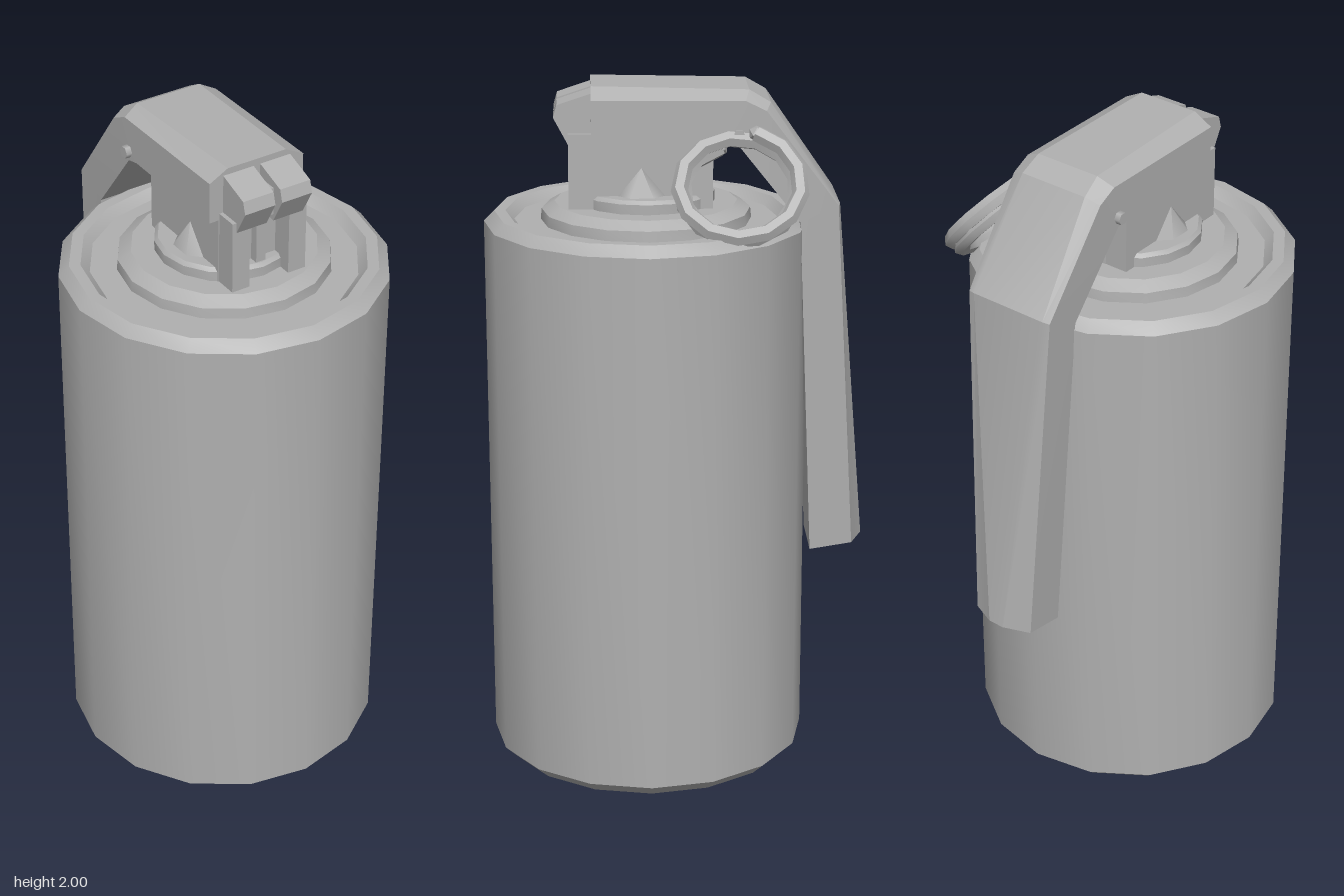
import * as THREE from 'three';
import { toCreasedNormals } from 'three/addons/utils/BufferGeometryUtils.js';

const CREASE = 0.5;
const AXIS_Z = 0.085; // canister axis, pushed forward by the lever behind it

// Solid lofted through the lever's cross-sections, with capped ends
function leverGeometry() {
  // outer [y, z], inner [y, z], half width, chamfer depth fraction, flat fraction
  const stations = [
    [[2.0, 0.24], [1.85, 0.24], 0.148, 0.2, 0.62],
    [[1.99, -0.2], [1.85, -0.13], 0.148, 0.17, 0.68],
    [[1.955, -0.26], [1.84, -0.17], 0.148, 0.15, 0.72],
    [[1.67, -0.457], [1.62, -0.345], 0.14, 0.05, 0.85],
    [[0.65, -0.547], [0.625, -0.39], 0.1, 0.22, 0.25],
  ];
  const rings = stations.map(([o, n, w, c, f]) =>
    [[-w, 1], [-w, c], [-w * f, 0], [w * f, 0], [w, c], [w, 1]].map(([x, d]) =>
      [x, o[0] + (n[0] - o[0]) * d, o[1] + (n[1] - o[1]) * d]));
  const pos = [];
  const tri = (...points) => points.forEach((p) => pos.push(...p));
  const count = rings[0].length;
  for (let s = 0; s < rings.length - 1; s++) {
    for (let i = 0; i < count; i++) {
      const j = (i + 1) % count;
      tri(rings[s][i], rings[s][j], rings[s + 1][j]);
      tri(rings[s][i], rings[s + 1][j], rings[s + 1][i]);
    }
  }
  const first = rings[0];
  const last = rings[rings.length - 1];
  for (let i = 1; i < count - 1; i++) {
    tri(first[0], first[i + 1], first[i]);
    tri(last[0], last[i], last[i + 1]);
  }
  const g = new THREE.BufferGeometry();
  g.setAttribute('position', new THREE.Float32BufferAttribute(pos, 3));
  return toCreasedNormals(g, 0.35);
}

// Double-wound split ring, tilted down on the left side
function ringCurve() {
  const centre = new THREE.Vector3(0.255, 1.745, -0.165);
  const across = new THREE.Vector3(0.67, -0.74, 0);
  const along = new THREE.Vector3(0, 0, -1);
  const normal = new THREE.Vector3(0.74, 0.67, 0);
  const points = [];
  const turns = 1.9;
  const steps = 22;
  for (let i = 0; i <= steps; i++) {
    const t = i / steps;
    const a = Math.PI * 1.1 + t * turns * Math.PI * 2;
    const r = 0.15 + 0.016 * t;
    points.push(centre.clone()
      .addScaledVector(across, r * Math.cos(a))
      .addScaledVector(along, (r + 0.005) * Math.sin(a))
      .addScaledVector(normal, (t - 0.5) * 0.05));
  }
  return new THREE.CatmullRomCurve3(points);
}

export function createModel() {
  const group = new THREE.Group();
  const metal = new THREE.MeshStandardMaterial({ color: 0xb0b0b0 });
  metal.name = 'grey metal';

  const add = (name, geometry, x = 0, y = 0, z = 0) => {
    const mesh = new THREE.Mesh(geometry, metal);
    mesh.name = name;
    mesh.position.set(x, y, z);
    group.add(mesh);
    return mesh;
  };
  const box = (name, w, h, d, x, y, z) => add(name, new THREE.BoxGeometry(w, h, d), x, y, z);
  const lathe = (name, profile) => {
    const points = profile.map(([r, y]) => new THREE.Vector2(r, y));
    add(name, toCreasedNormals(new THREE.LatheGeometry(points, 16), CREASE), 0, 0, AXIS_Z);
  };

  // Canister with recessed base, rims and stepped lid
  lathe('canister', [
    [0, 0.025], [0.345, 0.025], [0.36, 0], [0.425, 0], [0.462, 0.035], [0.462, 1.6],
    [0.432, 1.63], [0.4, 1.63], [0.375, 1.605], [0.3, 1.605], [0.297, 1.635],
    [0.26, 1.657], [0, 1.657],
  ]);
  lathe('neckCollar', [[0.195, 1.65], [0.195, 1.685], [0.185, 1.695], [0, 1.695]]);

  // Head block under the lever
  box('headBlock', 0.24, 0.3, 0.34, 0, 1.8, 0.07);
  for (const side of [-1, 1]) {
    box('frontPost', 0.055, 0.22, 0.065, side * 0.09, 1.76, 0.272);
    const bump = add('sideBump', new THREE.ConeGeometry(0.07, 0.085, 6), side * 0.12, 1.732, 0.1);
    bump.scale.x = 0.6;

    // Hinge knuckle at the front
    const outline = new THREE.Shape([
      [0.23, 1.85], [0.305, 1.84], [0.345, 1.915], [0.335, 1.95], [0.29, 1.965], [0.23, 1.985],
    ].map(([z, y]) => new THREE.Vector2(z, y)));
    const knuckle = new THREE.ExtrudeGeometry(outline, { depth: 0.095, bevelEnabled: false });
    knuckle.translate(0, 0, -0.0475);
    knuckle.rotateY(-Math.PI / 2);
    add('hingeKnuckle', knuckle, side * 0.058, 0, 0);
  }
  box('centrePost', 0.03, 0.22, 0.03, 0, 1.76, 0.25);
  box('hingeWeb', 0.03, 0.08, 0.07, 0, 1.9, 0.27);

  // Safety lever
  add('lever', leverGeometry());

  // Pull pin and split ring
  const pin = add('pullPin', new THREE.CylinderGeometry(0.018, 0.018, 0.33, 6), 0, 1.87, -0.17);
  pin.rotation.z = Math.PI / 2;
  const curve = ringCurve();
  add('pullRing', toCreasedNormals(new THREE.TubeGeometry(curve, 24, 0.024, 6, false), CREASE));
  for (const t of [0, 1]) {
    const end = curve.getPoint(t);
    add('ringEnd', new THREE.IcosahedronGeometry(0.024, 0), end.x, end.y, end.z);
  }

  return group;
}
